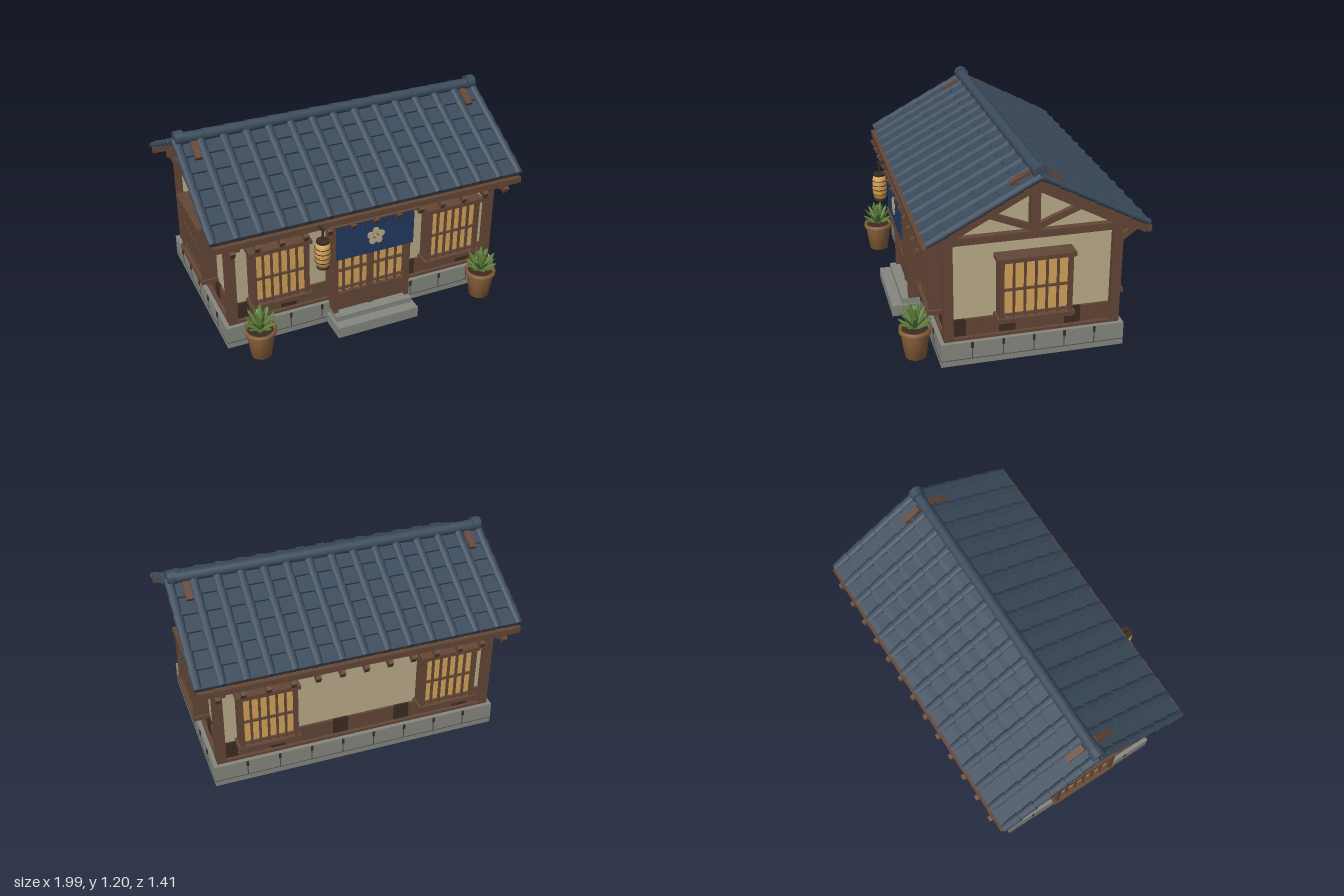
import * as THREE from 'three';
import { mergeGeometries } from 'three/addons/utils/BufferGeometryUtils.js';

const mat = (name, color, opts = {}) => Object.assign(new THREE.MeshStandardMaterial({ color, ...opts }), { name });
const M = {
  tile: mat('slate tile', 0x3c4b5c),
  wood: mat('brown timber', 0x644736),
  dark: mat('dark timber', 0x3c2c22),
  plaster: mat('cream plaster', 0xbcad8b),
  paper: mat('lamplit paper', 0xd6a45a),
  cloth: mat('indigo cloth', 0x233a60),
  stone: mat('grey stone', 0x868880),
  seam: mat('stone joint', 0x4e504b),
  clay: mat('terracotta', 0x93683f),
  leaf: mat('leaf green', 0x648540, { side: THREE.DoubleSide }),
};

function add(parent, name, geo, material, x = 0, y = 0, z = 0) {
  const m = new THREE.Mesh(geo, material);
  m.name = name;
  m.position.set(x, y, z);
  parent.add(m);
  return m;
}
// box from its minimum and maximum corners
function box(parent, name, material, x0, x1, y0, y1, z0, z1) {
  return add(parent, name, new THREE.BoxGeometry(x1 - x0, y1 - y0, z1 - z0), material,
    (x0 + x1) / 2, (y0 + y1) / 2, (z0 + z1) / 2);
}
function group(parent, name) {
  const g = new THREE.Group();
  g.name = name;
  parent.add(g);
  return g;
}
// slanted timber in an x-y plane
function strut(parent, name, ax, ay, bx, by, w, z0, z1) {
  const m = add(parent, name, new THREE.BoxGeometry(Math.hypot(bx - ax, by - ay), w, z1 - z0), M.wood,
    (ax + bx) / 2, (ay + by) / 2, (z0 + z1) / 2);
  m.rotation.z = Math.atan2(by - ay, bx - ax);
}

// latticed window: paper, frame, mullions; z is the wall plane
function latticeWindow(parent, x, z, w) {
  const g = group(parent, 'window');
  g.position.set(x, 0, z);
  const h = w / 2;
  box(g, 'windowPaper', M.paper, -h + 0.02, h - 0.02, 0.28, 0.64, 0, 0.07);
  for (const s of [-1, 1]) box(g, 'windowJamb', M.wood, s * h - 0.0125 - s * 0.0125, s * h + 0.0125 - s * 0.0125, 0.27, 0.64, 0, 0.095);
  for (const y of [0.26, 0.63]) box(g, 'windowRail', M.wood, -h - 0.015, h + 0.015, y, y + 0.026, 0, 0.105);
  for (let i = 1; i < 6; i++) {
    const mx = -h + 0.02 + ((w - 0.04) * i) / 6;
    box(g, 'mullion', M.wood, mx - 0.006, mx + 0.006, 0.28, 0.64, 0.06, 0.085);
  }
  for (const y of [0.3, 0.455]) box(g, 'crossBar', M.wood, -h + 0.02, h - 0.02, y - 0.006, y + 0.006, 0.06, 0.083);
}

// one side of the house: D is the wall distance, W its half width
function facade(house, name, turn, D, W, windows, blocks, doorway = 0) {
  const g = group(house, name);
  g.rotation.y = turn;
  box(g, 'sill', M.wood, -W - 0.03, W + 0.03, 0.14, 0.16, D - 0.02, D + 0.035);
  box(g, 'topBeam', M.wood, -W - 0.05, W + 0.05, 0.735, 0.778, D - 0.02, D + 0.04);
  const n = Math.round((2 * W) / 0.1);
  const pw = (2 * W) / n;
  for (let i = 0; i < n; i++) {
    const x = -W + (i + 0.5) * pw;
    if (Math.abs(x) < doorway) continue;
    box(g, 'wainscotPlank', i % 4 === 3 || i === 0 ? M.dark : M.wood, x - pw / 2 + 0.002, x + pw / 2 - 0.002, 0.155, 0.265, D - 0.01, D + 0.015);
  }
  for (const [x, w] of windows) latticeWindow(g, x, D, w);
  // joints in the stone plinth
  const half = W + 0.06, step = (2 * half) / blocks;
  box(g, 'plinthJoint', M.seam, -half, half, 0.036, 0.04, D + 0.05, D + 0.062);
  for (let i = 1; i < blocks; i++) {
    const x = -half + i * step;
    box(g, 'plinthJoint', M.seam, x - 0.003, x + 0.003, 0.038, 0.135, D + 0.05, D + 0.062);
    box(g, 'plinthPeg', M.dark, x - 0.007, x + 0.007, 0.108, 0.142, D + 0.03, D + 0.067);
  }
  return g;
}

// one roof slope; local z runs down the slope, local y is its normal
function roofSlope(house, turn) {
  const side = group(house, 'roofSide');
  side.rotation.y = turn;
  const g = group(side, 'roofSlope');
  g.position.y = 1.12;
  g.rotation.x = Math.atan(0.53);
  box(g, 'roofDeck', M.wood, -0.96, 0.96, -0.03, 0, 0, 0.69);
  const parts = [], L = 0.116;
  for (let r = 0; r < 6; r++) {
    const z = (r + 0.5) * L;
    parts.push(new THREE.BoxGeometry(1.95, 0.016, L + 0.006).rotateX(-0.11).translate(0, 0.009, z));
    for (let c = 0; c < 15; c++) {
      const roll = new THREE.CylinderGeometry(0.023, 0.029, L + 0.008, 10);
      parts.push(roll.rotateX(-Math.PI / 2).rotateY(Math.PI).rotateX(0).rotateY(Math.PI)
        .scale(1, 0.8, -1 * -1).rotateY(Math.PI).translate((c - 7) * 0.1385, 0.014, z));
    }
  }
  add(g, 'roofTiles', mergeGeometries(parts), M.tile);
  for (let i = -6; i <= 6; i++) box(g, 'rafterTail', M.wood, i * 0.145 - 0.015, i * 0.145 + 0.015, -0.07, -0.03, 0.5, 0.765);
  for (const s of [-1, 1]) {
    box(g, 'bargeRafter', M.wood, s * 0.88 - 0.02, s * 0.88 + 0.02, -0.085, -0.03, 0.02, 0.69);
    box(g, 'rafterPeak', M.wood, s * 0.88 - 0.02, s * 0.88 + 0.02, -0.03, 0.036, 0.03, 0.15);
    // corner outriggers and knee braces
    box(side, 'outrigger', M.wood, s * 0.85 - 0.025, s * 0.85 + 0.025, 0.735, 0.775, 0.45, 0.645);
    const brace = group(side, 'kneeBrace');
    brace.rotation.y = -Math.PI / 2;
    strut(brace, 'kneeBrace', 0.49, 0.655, 0.625, 0.755, 0.035, -s * 0.85 - 0.018, -s * 0.85 + 0.018);
  }
  box(side, 'fascia', M.wood, -0.975, 0.975, 0.748, 0.785, 0.615, 0.642);
}

function pottedPlant(parent, x, z) {
  const g = group(parent, 'pottedPlant');
  g.position.set(x, 0, z);
  const profile = [[0, 0], [0.062, 0], [0.084, 0.155], [0.094, 0.158], [0.094, 0.185], [0.08, 0.185], [0.078, 0.165], [0, 0.165]];
  add(g, 'pot', new THREE.LatheGeometry(profile.map(p => new THREE.Vector2(...p)), 20), M.clay);
  add(g, 'soil', new THREE.CylinderGeometry(0.078, 0.078, 0.01, 16), M.dark, 0, 0.168, 0);
  const leaves = [];
  for (const [count, tilt, len] of [[9, 1.05, 0.115], [8, 0.65, 0.145], [5, 0.25, 0.16]])
    for (let i = 0; i < count; i++)
      leaves.push(new THREE.SphereGeometry(0.5, 5, 4).scale(0.036, len, 0.01).translate(0, len / 2, 0)
        .rotateX(tilt).rotateY((i / count) * Math.PI * 2 + tilt).translate(0, 0.175, 0));
  add(g, 'leaves', mergeGeometries(leaves), M.leaf);
}

function entrance(house) {
  const g = group(house, 'entrance');
  box(g, 'lowerStep', M.stone, -0.265, 0.265, 0, 0.07, 0.5, 0.715);
  box(g, 'upperStep', M.stone, -0.25, 0.25, 0.07, 0.105, 0.5, 0.65);
  box(g, 'doorPaper', M.paper, -0.23, 0.23, 0.2, 0.72, 0.47, 0.56);
  box(g, 'doorLowerPanel', M.wood, -0.23, 0.23, 0.105, 0.225, 0.47, 0.585);
  box(g, 'doorLintel', M.wood, -0.29, 0.29, 0.74, 0.775, 0.47, 0.6);
  for (const s of [-1, 1]) {
    box(g, 'doorPost', M.wood, s * 0.235 - 0.014, s * 0.235 + 0.014, 0.105, 0.745, 0.47, 0.61);
    for (let i = 1; i < 4; i++) box(g, 'doorMullion', M.wood, s * i * 0.057 - 0.005, s * i * 0.057 + 0.005, 0.22, 0.72, 0.55, 0.578);
  }
  box(g, 'doorStile', M.wood, -0.016, 0.016, 0.105, 0.72, 0.55, 0.592);
  for (const y of [0.25, 0.38, 0.5]) box(g, 'doorBar', M.wood, -0.23, 0.23, y - 0.006, y + 0.006, 0.55, 0.576);
  // split curtain with a five-petal blossom
  const rod = add(g, 'curtainRod', new THREE.CylinderGeometry(0.01, 0.01, 0.58, 8), M.wood, 0, 0.742, 0.64);
  rod.rotation.z = Math.PI / 2;
  for (let i = -1; i <= 1; i++) box(g, 'curtainPanel', M.cloth, i * 0.167 - 0.081, i * 0.167 + 0.081, 0.51, 0.738, 0.635, 0.644);
  for (let i = 0; i < 5; i++) {
    const a = Math.PI / 2 + (i * Math.PI * 2) / 5;
    add(g, 'petal', new THREE.CylinderGeometry(0.022, 0.022, 0.005, 14).rotateX(Math.PI / 2), M.plaster,
      0.036 * Math.cos(a), 0.622 + 0.036 * Math.sin(a), 0.646);
  }
  add(g, 'blossomHeart', new THREE.CylinderGeometry(0.011, 0.011, 0.007, 12).rotateX(Math.PI / 2), M.paper, 0, 0.622, 0.647);
}

function lantern(house) {
  const g = group(house, 'lantern');
  g.position.set(-0.35, 0, 0.68);
  box(g, 'lanternArm', M.dark, -0.008, 0.008, 0.768, 0.782, -0.1, 0.01);
  box(g, 'lanternHook', M.dark, -0.005, 0.005, 0.7, 0.775, -0.005, 0.005);
  const profile = [[0, 0.535], [0.036, 0.535], [0.045, 0.57], [0.047, 0.615], [0.045, 0.66], [0.036, 0.695], [0, 0.695]];
  add(g, 'lanternBody', new THREE.LatheGeometry(profile.map(p => new THREE.Vector2(...p)), 20), M.paper);
  for (const y of [0.531, 0.699]) add(g, 'lanternCap', new THREE.CylinderGeometry(0.038, 0.038, 0.014, 18), M.dark, 0, y, 0);
  for (const [y, r] of [[0.57, 0.045], [0.6, 0.0467], [0.63, 0.0467], [0.66, 0.045]])
    add(g, 'lanternRib', new THREE.TorusGeometry(r, 0.0025, 5, 20).rotateX(Math.PI / 2), M.dark, 0, y, 0);
}

export function createModel() {
  const model = new THREE.Group();
  model.name = 'teahouse';
  const house = group(model, 'house');
  house.position.z = -0.055;

  // plinth, walls and gabled top
  box(house, 'plinth', M.stone, -0.9, 0.9, 0, 0.143, -0.54, 0.54);
  const outline = new THREE.Shape([[-0.48, 0.14], [0.48, 0.14], [0.48, 0.81], [0, 1.07], [-0.48, 0.81]].map(p => new THREE.Vector2(...p)));
  add(house, 'walls', new THREE.ExtrudeGeometry(outline, { depth: 1.68, bevelEnabled: false })
    .translate(0, 0, -0.84).rotateY(Math.PI / 2), M.plaster);
  for (const x of [-0.848, 0.848])
    for (const z of [-0.488, 0.488]) box(house, 'cornerPost', M.wood, x - 0.028, x + 0.028, 0.11, 0.78, z - 0.028, z + 0.028);

  const pair = [[-0.565, 0.35], [0.565, 0.35]];
  facade(house, 'frontWall', 0, 0.48, 0.84, pair, 9, 0.25);
  facade(house, 'backWall', Math.PI, 0.48, 0.84, pair, 9);
  for (const s of [-1, 1]) {
    const g = facade(house, 'gableWall', (s * Math.PI) / 2, 0.84, 0.48, [[0, 0.42]], 6);
    box(g, 'kingPost', M.wood, -0.028, 0.028, 0.775, 1.085, 0.82, 0.885);
    for (const t of [-1, 1]) {
      strut(g, 'gableStrut', t * 0.02, 0.795, t * 0.28, 0.9, 0.035, 0.82, 0.87);
      strut(g, 'gableRafter', 0, 1.06, t * 0.52, 0.785, 0.045, 0.82, 0.87);
    }
  }

  // roof slopes and ridge
  roofSlope(house, 0);
  roofSlope(house, Math.PI);
  const ridge = [];
  for (let i = 0; i < 14; i++)
    ridge.push(new THREE.CylinderGeometry(0.037, 0.033, 0.139, 14).rotateZ(Math.PI / 2).translate((i - 6.5) * 0.135, 1.145, 0));
  for (const s of [-1, 1])
    ridge.push(new THREE.CylinderGeometry(0.044, 0.044, 0.052, 18).rotateZ(Math.PI / 2).translate(s * 0.955, 1.152, 0));
  add(house, 'ridgeTiles', mergeGeometries(ridge), M.tile);

  entrance(house);
  lantern(house);
  for (const x of [-0.733, 0.733]) pottedPlant(model, x, 0.6);
  return model;
}
